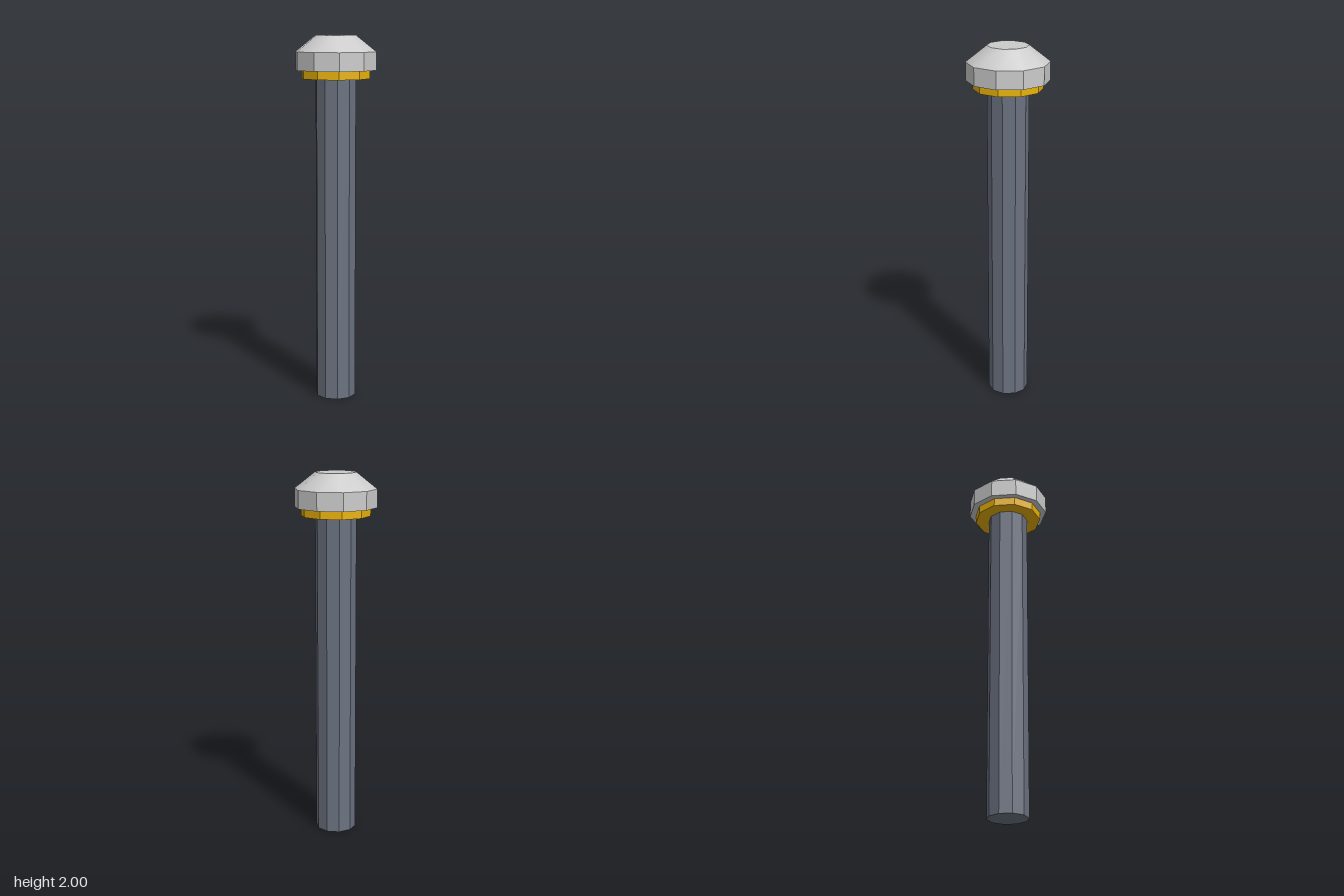
import * as THREE from 'three';

const SIDES = 10;

// Ten-sided section between two heights, with corners on the x axis
function section(name, rTop, rBottom, y0, y1, color, { flat = true, open = false } = {}) {
  const geometry = new THREE.CylinderGeometry(rTop, rBottom, y1 - y0, SIDES, 1, open, Math.PI / 2);
  geometry.translate(0, (y0 + y1) / 2, 0);
  const material = new THREE.MeshStandardMaterial({ color, flatShading: flat });
  if (open) material.side = THREE.DoubleSide;
  const mesh = new THREE.Mesh(geometry, material);
  mesh.name = name;
  return mesh;
}

export function createModel() {
  const model = new THREE.Group();
  model.name = 'post';
  const grey = 0xcccccc, steel = 0x6b7280, gold = 0xeab308;

  // Long shaft and the collar under the head
  model.add(section('shaft', 0.111, 0.111, 0, 1.77, steel));
  model.add(section('collar', 0.187, 0.187, 1.77, 1.815, gold));

  // Head: straight band, smooth taper and flat cap
  const head = new THREE.Group();
  head.name = 'head';
  head.add(section('headBand', 0.222, 0.222, 1.815, 1.913, grey));
  head.add(section('headTaper', 0.111, 0.222, 1.913, 2, grey, { flat: false, open: true }));
  const cap = new THREE.Mesh(
    new THREE.CircleGeometry(0.111, SIDES).rotateX(-Math.PI / 2).translate(0, 2, 0),
    new THREE.MeshStandardMaterial({ color: grey })
  );
  cap.name = 'headCap';
  head.add(cap);
  model.add(head);

  return model;
}
